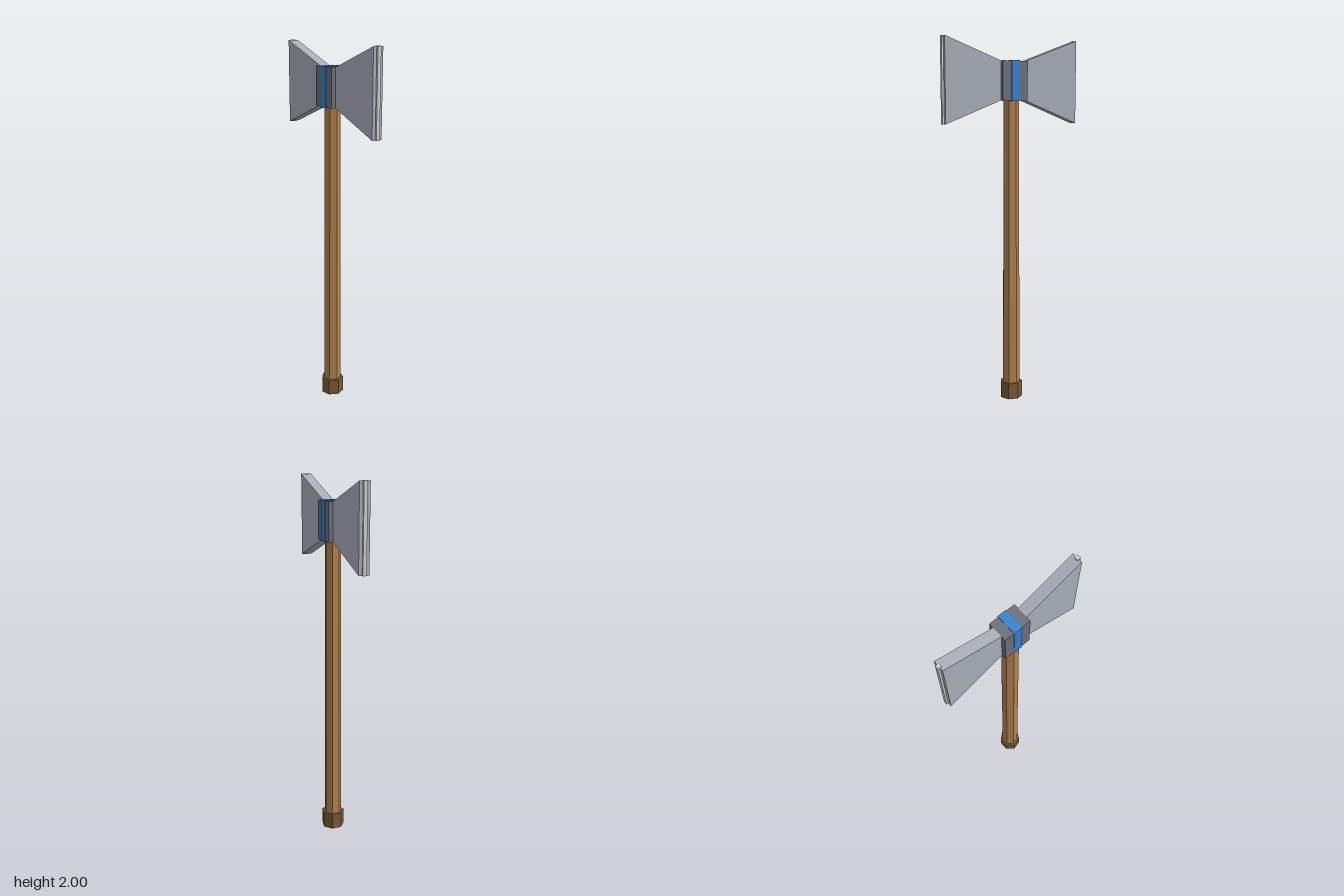
import * as THREE from 'three';

const mat = (name, color) => {
  const m = new THREE.MeshStandardMaterial({ color });
  m.name = name;
  m.flatShading = true;
  return m;
};

export function createModel() {
  const wood = mat('wood', 0xb38350);
  const darkWood = mat('darkWood', 0x7a5c36);
  const iron = mat('iron', 0x6c707c);
  const steel = mat('steel', 0xa9aeb8);
  const edgeSteel = mat('edgeSteel', 0xcfd1d4);
  const blue = mat('blue', 0x3582d0);

  const axe = new THREE.Group();
  axe.name = 'doubleAxe';
  const add = (name, geometry, material, x, y, z) => {
    const mesh = new THREE.Mesh(geometry, material);
    mesh.name = name;
    mesh.position.set(x, y, z);
    axe.add(mesh);
    return mesh;
  };

  // Seven-sided tapering shaft and its end cap
  add('handle', new THREE.CylinderGeometry(0.043, 0.05, 1.7, 7), wood, 0, 0.86, 0);
  add('pommel', new THREE.CylinderGeometry(0.063, 0.063, 0.09, 7), darkWood, 0, 0.045, 0);

  // Head block with a painted band wrapped around its middle
  add('headBlock', new THREE.BoxGeometry(0.108, 0.208, 0.148), iron, 0, 1.778, 0);
  add('headBand', new THREE.BoxGeometry(0.114, 0.214, 0.046), blue, 0, 1.778, 0);

  // Flared blades, drawn in the z-y plane and extruded across x
  const profile = new THREE.Shape([
    new THREE.Vector2(0.07, 1.675), new THREE.Vector2(0.392, 1.55),
    new THREE.Vector2(0.392, 2), new THREE.Vector2(0.07, 1.881),
  ]);
  for (const side of [1, -1]) {
    const label = side > 0 ? 'front' : 'back';
    const blade = new THREE.ExtrudeGeometry(profile, { depth: 0.058, bevelEnabled: false });
    blade.translate(0, 0, -0.029);
    blade.rotateY(-side * Math.PI / 2);
    add(label + 'Blade', blade, steel, 0, 0, 0);
    // Narrow cutting edge along the outer rim
    add(label + 'Edge', new THREE.BoxGeometry(0.02, 0.452, 0.02), edgeSteel, 0, 1.775, side * 0.392);
  }
  return axe;
}
